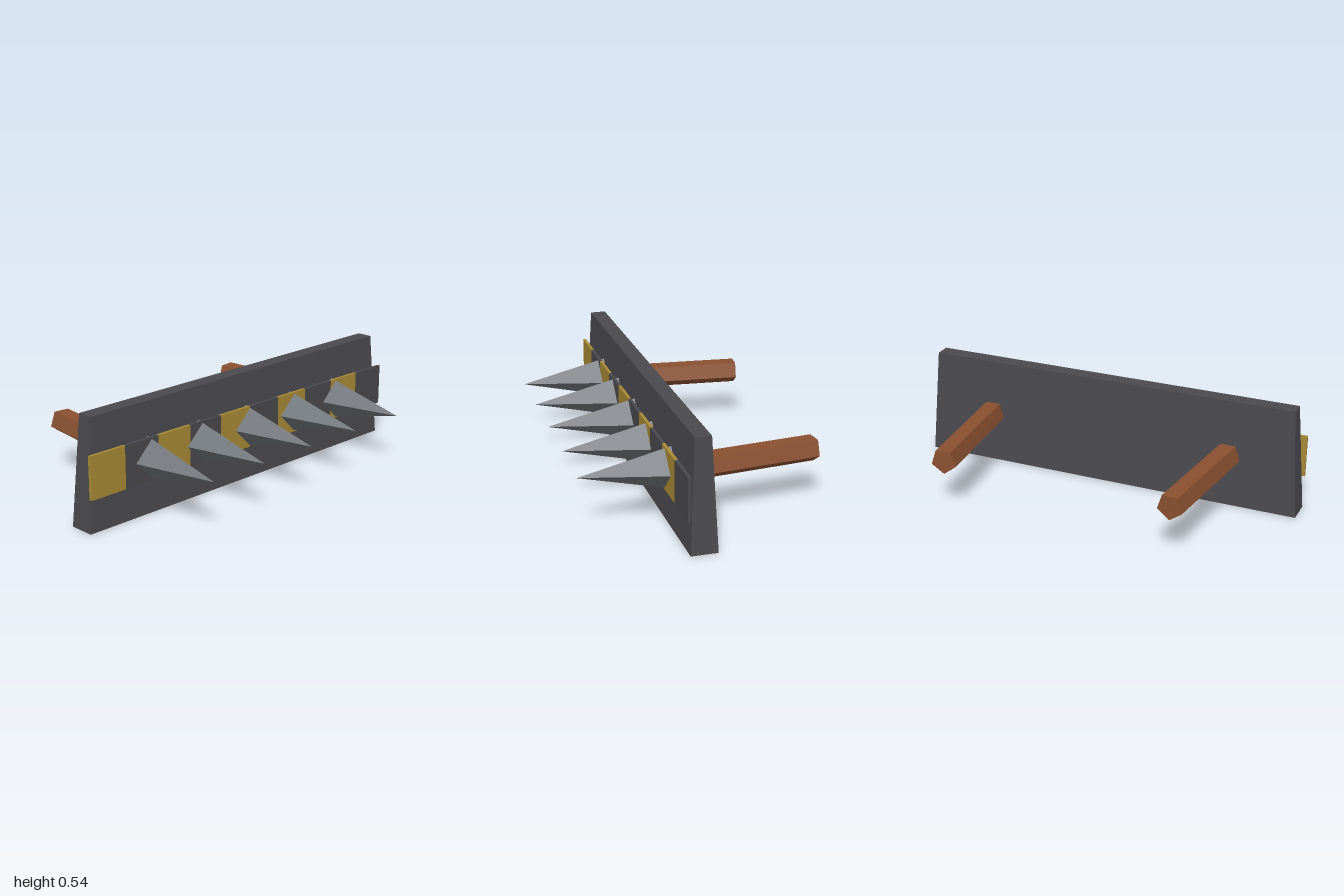
import * as THREE from 'three';

const mat = (name, color) => {
  const m = new THREE.MeshStandardMaterial({ color, flatShading: true });
  m.name = name;
  return m;
};

export function createModel() {
  const group = new THREE.Group();
  const blade = mat('dark steel', 0x4a494e);
  const yellow = mat('warning yellow', 0xa98a35);
  const metal = mat('spike metal', 0x70757a);
  const wood = mat('wood', 0x8a5030);

  const add = (name, geometry, material, x, y, z) => {
    const mesh = new THREE.Mesh(geometry, material);
    mesh.name = name;
    mesh.position.set(x, y, z);
    group.add(mesh);
    return mesh;
  };

  // Plate: a box narrowed towards its top edge
  const plate = new THREE.BoxGeometry(2, 0.54, 0.128);
  const p = plate.attributes.position;
  for (let i = 0; i < p.count; i++) {
    if (p.getY(i) > 0) {
      p.setX(i, p.getX(i) * 0.96);
      p.setZ(i, p.getZ(i) * 0.61);
    }
  }
  plate.computeVertexNormals();
  add('plate', plate, blade, 0, 0.27, 0.095);

  // Warning band: ten alternating segments across the front
  const segment = new THREE.BoxGeometry(0.2, 0.21, 0.015);
  for (let i = 0; i < 10; i++) {
    add('bandSegment', segment, i % 2 ? blade : yellow, -0.9 + i * 0.2, 0.271, 0.166);
  }

  // Five four-sided spikes pointing forwards
  const spike = new THREE.ConeGeometry(0.105, 0.44, 4).rotateX(Math.PI / 2);
  for (let i = -2; i <= 2; i++) add('spike', spike, metal, i * 0.32, 0.271, 0.36);

  // Two five-sided push handles, leaning towards each other at the back
  const handle = new THREE.CylinderGeometry(0.0655, 0.0655, 0.68, 5).rotateX(Math.PI / 2);
  for (const side of [-1, 1]) {
    add('handle', handle, wood, side * 0.614, 0.261, -0.238).rotation.y = side * 0.1;
  }
  return group;
}
